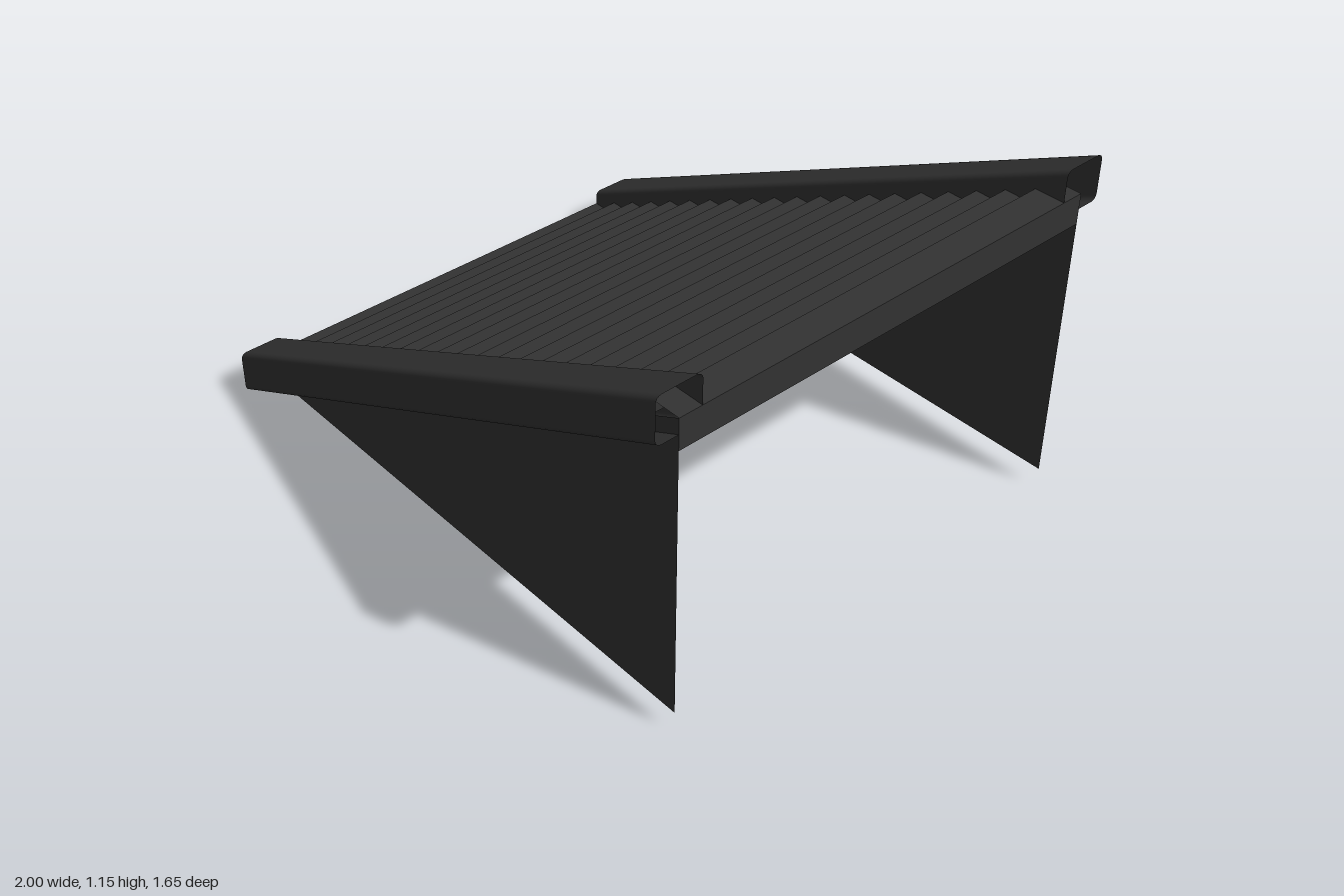
import * as THREE from 'three';

const STEPS = 20, RUN = 0.1, RISE = 0.05, SLOPE = RISE / RUN;
const HALF = 0.75; // half width between the rail centre lines

const material = new THREE.MeshStandardMaterial({ color: 0x333333, side: THREE.DoubleSide });

function geometryFrom(positions, index, normals) {
  const g = new THREE.BufferGeometry();
  g.setAttribute('position', new THREE.Float32BufferAttribute(positions, 3));
  if (normals) g.setAttribute('normal', new THREE.Float32BufferAttribute(normals, 3));
  g.setIndex(index);
  if (!normals) g.computeVertexNormals();
  return g;
}

// Folded sheet: a side profile swept across the width, with sharp folds
function foldedSheet(profile) {
  const pos = [], index = [];
  for (let i = 0; i < profile.length - 1; i++) {
    const [x0, y0] = profile[i], [x1, y1] = profile[i + 1], n = i * 4;
    pos.push(x0, y0, HALF, x1, y1, HALF, x1, y1, -HALF, x0, y0, -HALF);
    index.push(n, n + 1, n + 2, n, n + 2, n + 3);
  }
  return geometryFrom(pos, index);
}

// Open square tube with rounded corners, sheared so its ends stay vertical
function railTube(size, radius, segments) {
  const pos = [], normals = [], index = [], inner = size / 2 - radius;
  const corners = [[1, 1], [-1, 1], [-1, -1], [1, -1]];
  const count = 4 * (segments + 1);
  corners.forEach(([sz, sy], c) => {
    for (let s = 0; s <= segments; s++) {
      const a = (c + s / segments) * Math.PI / 2;
      const nz = Math.cos(a), ny = Math.sin(a);
      const normal = new THREE.Vector3(-SLOPE * ny, ny, nz).normalize();
      for (const x of [-1, 1]) {
        pos.push(x, sy * inner + ny * radius + SLOPE * x, sz * inner + nz * radius);
        normals.push(normal.x, normal.y, normal.z);
      }
    }
  });
  for (let i = 0; i < count; i++) {
    const a = i * 2, b = ((i + 1) % count) * 2;
    index.push(a, b, a + 1, b, b + 1, a + 1);
  }
  return geometryFrom(pos, index, normals);
}

export function createModel() {
  const model = new THREE.Group();
  model.name = 'staircase';
  const add = (name, geometry, y = 0, z = 0) => {
    const mesh = new THREE.Mesh(geometry, material);
    mesh.name = name;
    mesh.position.set(0, y, z);
    model.add(mesh);
  };

  // Treads and risers, closed by a short panel at the top end
  const profile = [[-1, 0]];
  for (let i = 0; i < STEPS; i++) {
    const x = -1 + i * RUN, y = 0.1 + i * RISE;
    profile.push([x, y], [x + RUN, y]);
  }
  profile.push([1, 0.95]);
  add('steps', foldedSheet(profile));

  // Thin triangular side walls, running up inside the rails
  const wall = new THREE.Shape([
    new THREE.Vector2(-0.98, 0.06),
    new THREE.Vector2(1, 0.06),
    new THREE.Vector2(1, 1.05),
  ]);
  const wallGeometry = new THREE.ShapeGeometry(wall);
  const railGeometry = railTube(0.15, 0.02, 4);
  for (const [side, z] of [['left', HALF], ['right', -HALF]]) {
    const sideName = z > 0 ? 'front' : 'back';
    add(sideName + 'Wall', wallGeometry, 0, z);
    add(sideName + 'Rail', railGeometry, 0.575, z);
  }
  return model;
}
